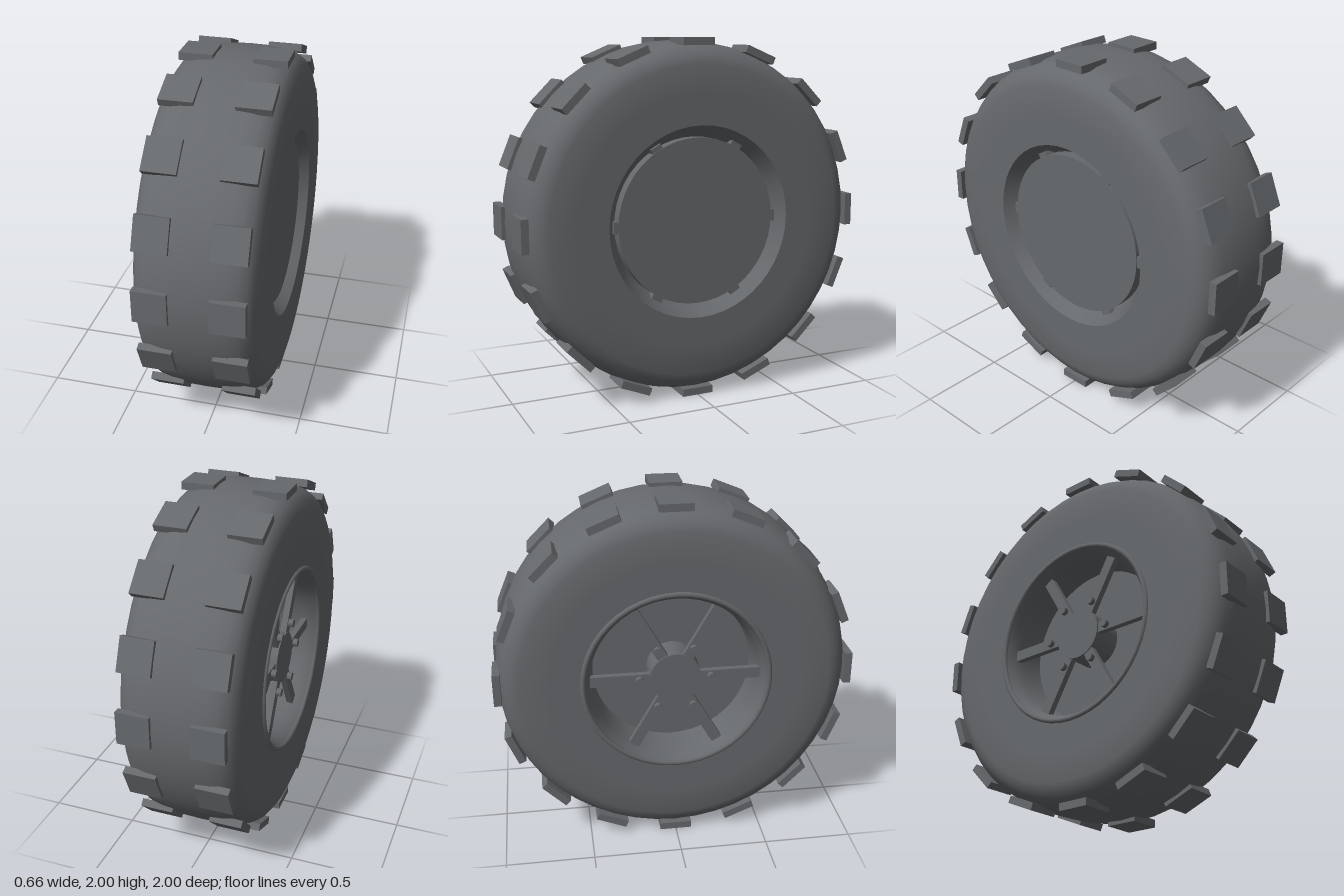
import * as THREE from 'three';
import { toCreasedNormals } from 'three/addons/utils/BufferGeometryUtils.js';

const grey = new THREE.MeshStandardMaterial({ color: 0x66696c });
grey.name = 'dark grey';

export function createModel() {
  const model = new THREE.Group();
  model.name = 'wheel';
  const wheel = new THREE.Group(); // axle runs along x at y = 1
  wheel.name = 'wheelAssembly';
  wheel.position.y = 1;
  model.add(wheel);

  const add = (name, geometry, parent = wheel) => {
    const mesh = new THREE.Mesh(geometry, grey);
    mesh.name = name;
    parent.add(mesh);
    return mesh;
  };

  // Turned part: profile points are [x along axle, radius]
  const turned = (name, profile, crease = 0.6) => {
    const points = profile.map(([x, r]) => new THREE.Vector2(r, x));
    const geometry = new THREE.LatheGeometry(points, 48);
    geometry.rotateZ(-Math.PI / 2);
    return add(name, toCreasedNormals(geometry, crease));
  };

  // Solid cylinder along the axle between two x positions
  const disc = (name, x0, x1, radius, sides, parent = wheel) => {
    const geometry = new THREE.CylinderGeometry(radius, radius, x1 - x0, sides);
    geometry.rotateZ(-Math.PI / 2);
    geometry.translate((x0 + x1) / 2, 0, 0);
    return add(name, toCreasedNormals(geometry, 0.6), parent);
  };

  // Group turned about the axle, its local y pointing outwards
  const spun = (name, angle) => {
    const group = new THREE.Group();
    group.name = name;
    group.rotation.x = angle;
    wheel.add(group);
    return group;
  };

  // Tyre body with flat sidewalls and rounded shoulders
  turned('tyre', [
    [-0.325, 0.53], [-0.325, 0.7], [-0.325, 0.86], [-0.31, 0.9], [-0.285, 0.935],
    [-0.24, 0.962], [-0.18, 0.976], [-0.09, 0.984], [0, 0.986], [0.09, 0.984],
    [0.18, 0.976], [0.24, 0.962], [0.285, 0.935], [0.31, 0.9], [0.325, 0.86],
    [0.325, 0.7], [0.325, 0.535],
  ], 0.8);

  // Tapered recess on the closed side, curved bowl on the spoked side
  turned('innerRecess', [[0.325, 0.535], [0.2, 0.46]]);
  turned('rimBowl', [
    [-0.1, 0.45], [-0.17, 0.46], [-0.24, 0.47], [-0.29, 0.482], [-0.325, 0.505],
  ]);
  const lip = add('rimLip', new THREE.TorusGeometry(0.518, 0.016, 8, 48));
  lip.rotation.y = Math.PI / 2;
  lip.position.x = -0.322;
  disc('backPlate', -0.1, 0.275, 0.465, 48);

  // Hub, spokes, wheel nuts and the spoke ends on the closed side
  disc('hub', -0.275, -0.1, 0.145, 32);
  for (let i = 0; i < 6; i++) {
    const arm = spun('spokeArm', Math.PI / 2 + (i * Math.PI) / 3);
    add('spoke', new THREE.BoxGeometry(0.035, 0.37, 0.062), arm).position.set(-0.25, 0.295, 0);
    disc('wheelNut', -0.295, -0.26, 0.023, 12, arm).position.y = 0.2;
    add('spokeEnd', new THREE.BoxGeometry(0.14, 0.06, 0.065), arm).position.set(0.2, 0.46, 0);
  }

  // Two rows of tread blocks
  for (let i = 0; i < 16; i++) {
    const row = spun('treadRow', (i * Math.PI) / 8);
    for (const side of [-1, 1]) {
      add('treadBlock', new THREE.BoxGeometry(0.185, 0.042, 0.184), row)
        .position.set(side * 0.2, 0.979, 0);
    }
  }
  return model;
}
